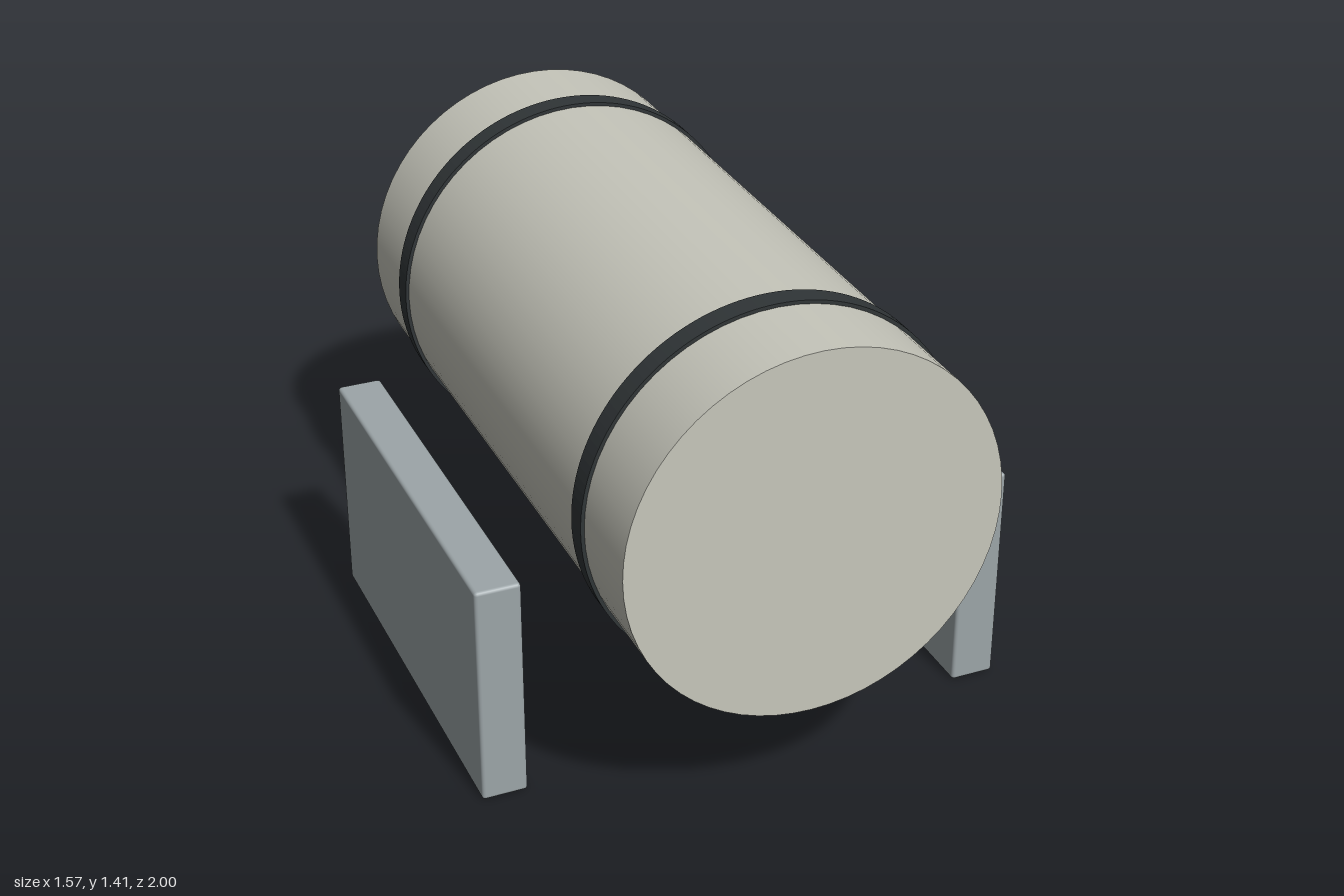
import * as THREE from 'three';
import { RoundedBoxGeometry } from 'three/addons/geometries/RoundedBoxGeometry.js';

const AXIS_Y = 0.87;
const BODY_RADIUS = 0.53;

function material(color) {
  return new THREE.MeshStandardMaterial({ color });
}

export function createModel() {
  const model = new THREE.Group();
  model.name = 'tankWithSidePlates';

  function add(name, geometry, mat, x, y, z) {
    const mesh = new THREE.Mesh(geometry, mat);
    mesh.name = name;
    mesh.position.set(x, y, z);
    model.add(mesh);
    return mesh;
  }

  // Horizontal drum, closed at both ends
  const drum = new THREE.CylinderGeometry(BODY_RADIUS, BODY_RADIUS, 2, 64).rotateX(Math.PI / 2);
  add('drum', drum, material(0xc6c6bb), 0, AXIS_Y, 0);

  // Flat bands around the drum, with a rectangular section
  const outer = BODY_RADIUS + 0.01, inner = BODY_RADIUS - 0.01, half = 0.0325;
  const section = new THREE.Shape().absarc(0, 0, outer, 0, Math.PI * 2);
  section.holes.push(new THREE.Path().absarc(0, 0, inner, 0, Math.PI * 2, true));
  const band = new THREE.ExtrudeGeometry(section, { depth: half * 2, bevelEnabled: false, curveSegments: 64 });
  band.translate(0, 0, -half);
  const bandMat = material(0x303537);
  for (const side of [1, -1]) {
    add(side > 0 ? 'frontBand' : 'backBand', band, bandMat, 0, AXIS_Y, side * 0.712);
  }

  // Upright plates standing clear of the drum on both sides
  const plate = new RoundedBoxGeometry(0.13, 0.665, 1.22, 2, 0.01);
  const plateMat = material(0x9ca5a8);
  for (const side of [1, -1]) {
    add(side > 0 ? 'leftPlate' : 'rightPlate', plate, plateMat, side * 0.72, 0.3325, 0);
  }

  // Small box let into the left flank of the drum
  const box = new RoundedBoxGeometry(0.2, 0.265, 0.27, 2, 0.008);
  add('sideBox', box, material(0xca7d41), 0.508, 0.7225, 0);

  return model;
}
